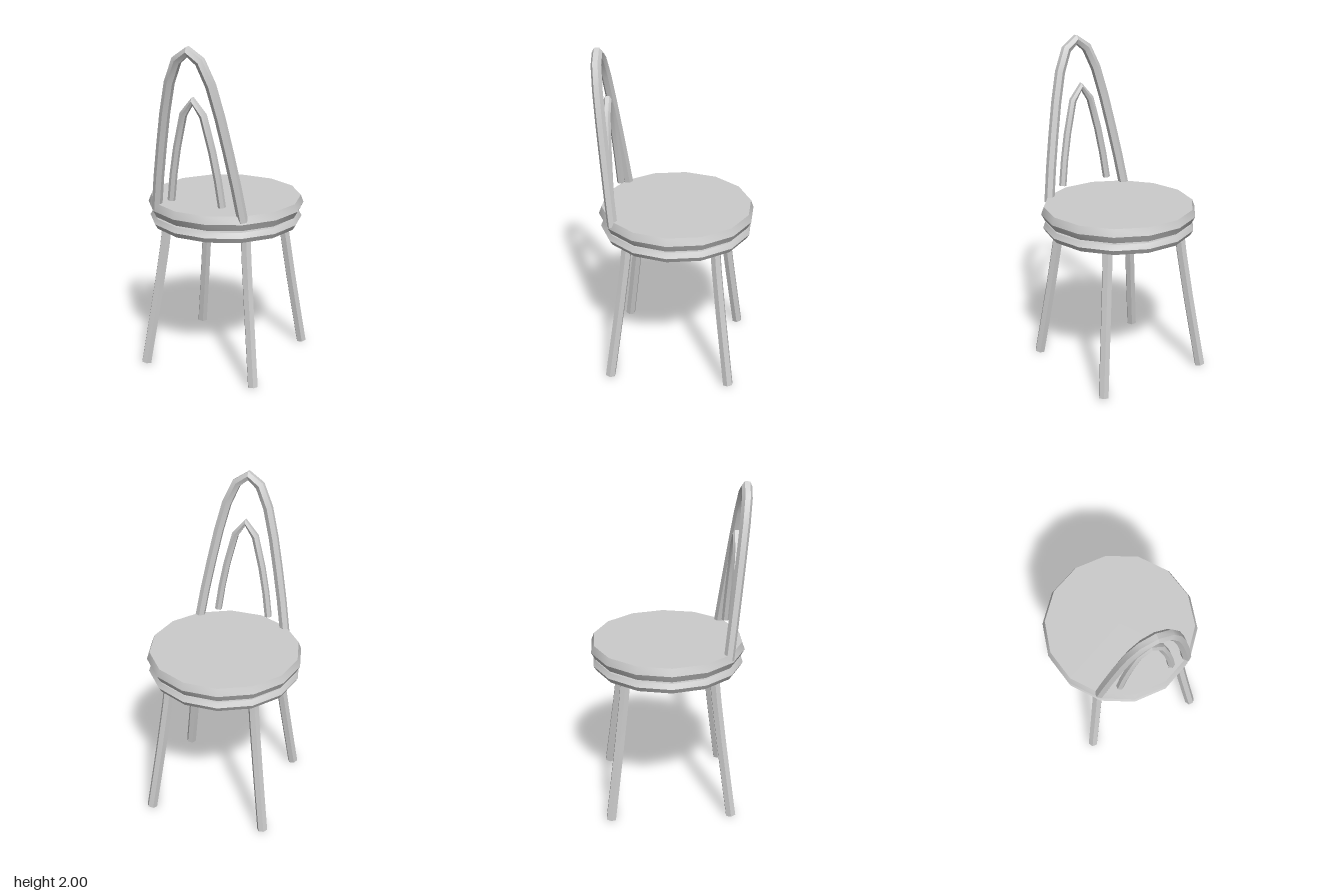
import * as THREE from 'three';
import { toCreasedNormals } from 'three/addons/utils/BufferGeometryUtils.js';

const SIDES = 6;
const CENTRE_Z = -0.013;
const material = new THREE.MeshStandardMaterial({ color: 0xcccccc });

function addMesh(parent, name, geometry) {
  const mesh = new THREE.Mesh(toCreasedNormals(geometry, 0.6), material);
  mesh.name = name;
  parent.add(mesh);
  return mesh;
}

// Hexagonal rod with one ring per path point and closed ends
function rod(points, radius) {
  const path = new THREE.CatmullRomCurve3(points);
  path.getPointAt = path.getPoint;
  path.getTangentAt = path.getTangent;
  const geometry = new THREE.TubeGeometry(path, points.length - 1, radius, SIDES);
  const index = Array.from(geometry.index.array);
  const last = (points.length - 1) * (SIDES + 1);
  for (let i = 1; i < SIDES - 1; i++) {
    index.push(0, i, i + 1);
    index.push(last, last + i + 1, last + i);
  }
  geometry.setIndex(index);
  return geometry;
}

// Symmetrical arch from half a profile [x, y], leaning along z
function arch(half, zBottom, zTop, radius) {
  const yBottom = half[0][1];
  const yTop = half[half.length - 1][1];
  const mirrored = half.slice(0, -1).reverse().map(([x, y]) => [-x, y]);
  const points = [...half, ...mirrored].map(([x, y]) =>
    new THREE.Vector3(x, y, THREE.MathUtils.mapLinear(y, yBottom, yTop, zBottom, zTop)));
  return rod(points, radius);
}

export function createModel() {
  const chair = new THREE.Group();
  chair.name = 'chair';

  // Seat: bevelled fourteen-sided disc
  const profile = [[0, 0.958], [0.45, 0.958], [0.472, 1.0], [0.455, 1.045], [0, 1.045]]
    .map(([r, y]) => new THREE.Vector2(r, y));
  addMesh(chair, 'seat', new THREE.LatheGeometry(profile, 14, Math.PI / 2)).position.z = CENTRE_Z;

  // Hoop just under the seat
  const hoop = new THREE.TorusGeometry(0.427, 0.035, SIDES, 14).rotateX(Math.PI / 2);
  addMesh(chair, 'seatHoop', hoop).position.set(0, 0.915, CENTRE_Z);

  // Four slightly bowed, splayed legs
  for (const sx of [1, -1]) {
    for (const sz of [1, -1]) {
      const points = [[0.255, 0.97], [0.275, 0.75], [0.306, 0.48], [0.336, 0.24], [0.366, 0.005]]
        .map(([d, y]) => new THREE.Vector3(sx * d, y, CENTRE_Z + sz * d * 1.002));
      const name = (sz > 0 ? 'front' : 'back') + (sx > 0 ? 'Left' : 'Right') + 'Leg';
      addMesh(chair, name, rod(points, 0.032));
    }
  }

  // Backrest: tall outer arch and a thinner inner arch
  const outer = [[0.283, 1.01], [0.25, 1.22], [0.215, 1.41], [0.175, 1.61],
    [0.13, 1.79], [0.073, 1.92], [0, 1.973]];
  addMesh(chair, 'outerBackArch', arch(outer, 0.33, 0.445, 0.031));
  const inner = [[0.165, 1.088], [0.143, 1.25], [0.113, 1.41], [0.063, 1.61], [0, 1.693]];
  addMesh(chair, 'innerBackArch', arch(inner, 0.36, 0.393, 0.023));

  return chair;
}
